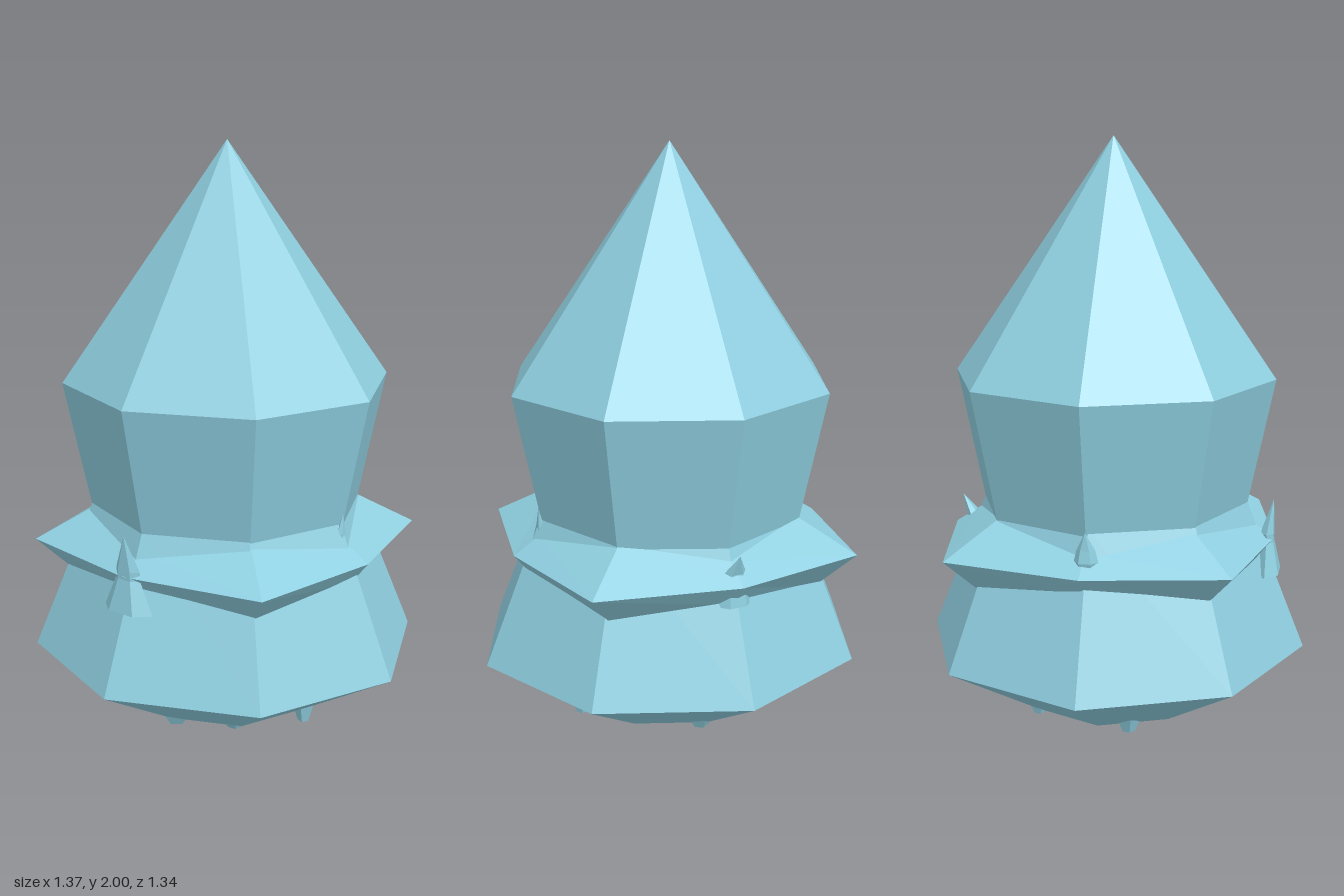
import * as THREE from 'three';

const material = new THREE.MeshStandardMaterial({ color: 0x8fcfe0, flatShading: true, side: THREE.DoubleSide });

// Faceted solid of revolution; odd columns may follow a second profile.
function facetedLathe(profile, sides, oddProfile) {
  const geo = new THREE.LatheGeometry(profile.map(([r, y]) => new THREE.Vector2(r, y)), sides);
  if (oddProfile) {
    const pos = geo.attributes.position;
    const n = profile.length;
    for (let i = 1; i < sides; i += 2) {
      const a = (i / sides) * Math.PI * 2;
      oddProfile.forEach(([r, y], j) => pos.setXYZ(i * n + j, r * Math.sin(a), y, r * Math.cos(a)));
    }
  }
  const flat = geo.toNonIndexed();
  flat.computeVertexNormals();
  return flat;
}

function addPart(parent, name, geo) {
  const mesh = new THREE.Mesh(geo, material);
  mesh.name = name;
  parent.add(mesh);
  return mesh;
}

export function createModel() {
  const model = new THREE.Group();
  model.name = 'crystalFigure';

  // Flared octagonal base
  const body = addPart(model, 'body', facetedLathe(
    [[0, 0.04], [0.33, 0.04], [0.685, 0.25], [0.47, 0.775], [0, 0.775]], 8));
  body.scale.z = 0.975;

  // Octagonal head with a pointed roof
  const head = addPart(model, 'head', facetedLathe(
    [[0, 0.7], [0.465, 0.7], [0.568, 1.195], [0, 2]], 8));
  head.scale.z = 0.985;
  head.position.z = -0.007;

  // Collar, with its corners reaching further out on the diagonals
  const collar = addPart(model, 'collar', facetedLathe(
    [[0.515, 0.56], [0.578, 0.64], [0.485, 0.7]], 8,
    [[0.537, 0.51], [0.68, 0.64], [0.46, 0.756]]));
  collar.scale.z = 0.985;
  collar.position.z = -0.01;

  // Small shards around the collar: angle, radius, depth scale, tip lean, profile
  const shards = [
    ['frontShard', 0, 0.535, 0.5, 0.02, [[0.1, 0.52], [0.05, 0.63], [0.05, 0.66], [0, 0.78]]],
    ['backShard', Math.PI, 0.515, 0.6, 0.04, [[0.06, 0.56], [0.045, 0.63], [0.04, 0.67], [0, 0.74]]],
    ['rightShard', -Math.PI / 2, 0.505, 0.8, 0.015, [[0.02, 0.62], [0.04, 0.68], [0.03, 0.72], [0, 0.78]]],
    ['leftShard', Math.PI / 2, 0.475, 0.8, 0.008, [[0.02, 0.66], [0.02, 0.73], [0, 0.8]]],
  ];
  for (const [name, angle, radius, depth, lean, profile] of shards) {
    const geo = facetedLathe(profile, 6);
    geo.rotateY(Math.PI / 6);
    geo.scale(1, 1, depth);
    const pos = geo.attributes.position;
    const tip = profile[profile.length - 1][1];
    for (let i = 0; i < pos.count; i++) {
      if (pos.getY(i) > tip - 0.01) pos.setZ(i, pos.getZ(i) + lean);
    }
    geo.computeVertexNormals();
    const shard = addPart(model, name, geo);
    shard.position.set(Math.sin(angle) * radius, 0, Math.cos(angle) * radius);
    shard.rotation.y = angle;
  }

  // Rough stubs under the base: x, z, width, lowest y
  const stubs = [
    [-0.29, 0.1, 0.045, 0.01], [-0.22, -0.23, 0.04, 0.02], [0, 0.29, 0.07, 0.014],
    [0.2, 0.22, 0.05, 0.025], [0.34, 0, 0.04, 0], [0.02, -0.31, 0.05, 0.025],
  ];
  for (const [x, z, w, low] of stubs) {
    const stub = addPart(model, 'footStub', facetedLathe(
      [[0, low], [w * 0.5, low + 0.004], [w, 0.07], [0, 0.08]], 5));
    stub.position.set(x, 0, z);
    stub.rotation.y = Math.atan2(x, z);
  }

  return model;
}
